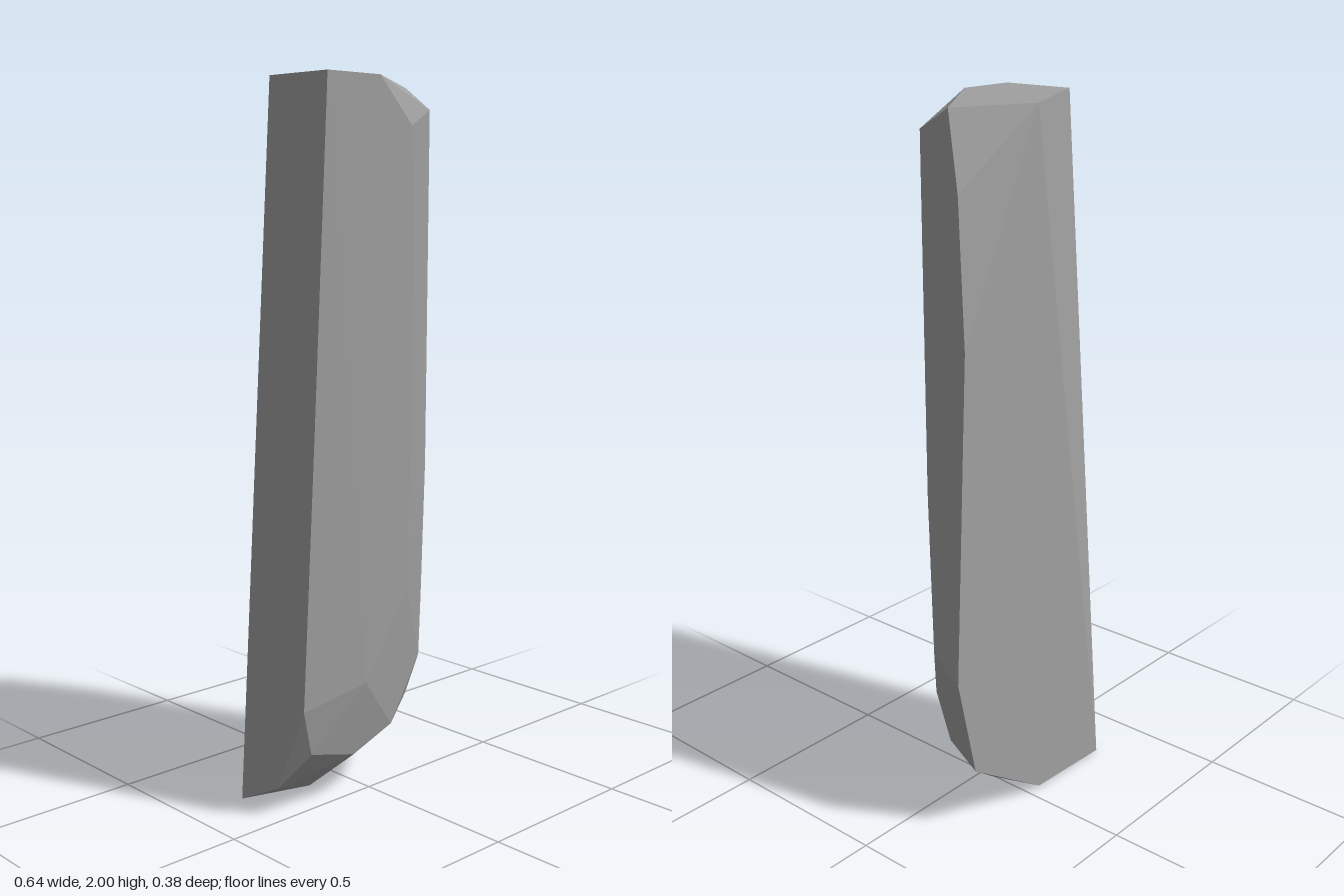
import * as THREE from 'three';
import { ConvexGeometry } from 'three/addons/geometries/ConvexGeometry.js';

export function createModel() {
  const group = new THREE.Group();
  group.name = 'stoneShard';
  const stone = new THREE.MeshStandardMaterial({ color: 0xa0a0a0, flatShading: true });
  stone.name = 'grey stone';

  // Corners of the faceted rock, ring by ring: [x, y, z]
  const corners = [
    // flat top with cut back corners
    [-0.32, 2, 0.19], [-0.135, 2, 0.184], [0.238, 2, -0.095], [0.01, 2, -0.19], [-0.32, 2, -0.03],
    // chamfer under the top
    [0, 1.88, 0.164], [0.163, 1.93, 0.07], [0.262, 1.8, -0.147],
    // long body
    [0.287, 1.42, -0.19], [-0.32, 1.1, 0.134], [0.04, 1.5, 0.135], [0.175, 0.95, 0.05],
    [0.255, 1.0, -0.03], [0.08, 0.6, 0.075], [0.272, 0.53, -0.058], [0.32, 0.5, -0.19],
    // shoulder of the rounded foot
    [-0.32, 0.33, 0.083], [-0.09, 0.36, 0.083], [0.2, 0.36, 0.003],
    [-0.27, 0.19, 0.055], [0.055, 0.19, 0.035], [0.205, 0.225, -0.055], [0.25, 0.2, -0.19],
    // underside
    [-0.09, 0.135, 0.032], [-0.32, 0.08, -0.03], [-0.18, 0.04, -0.057],
    [0.12, 0.1, -0.143], [-0.035, 0.012, -0.19], [-0.32, 0, -0.19],
  ];
  const shard = new THREE.Mesh(
    new ConvexGeometry(corners.map((c) => new THREE.Vector3(...c))), stone);
  shard.name = 'shard';
  group.add(shard);
  return group;
}
